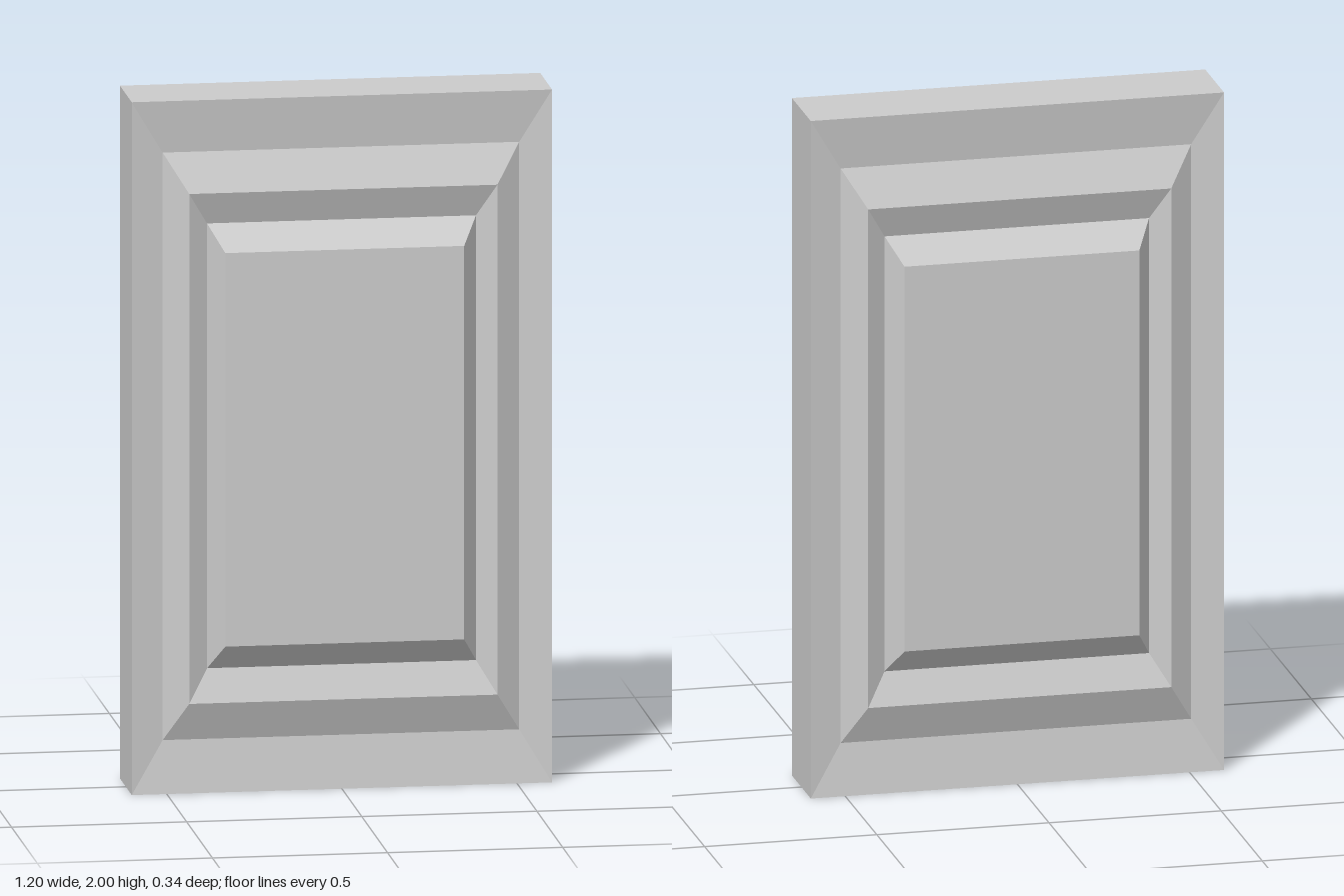
import * as THREE from 'three';

// Rectangular steps of the door face, outside to inside: half width, half height, depth
const EDGE = [0.6, 1, 0.115];
const FRAME_INNER = [0.509, 0.848, 0.096];
const RIDGE = [0.44, 0.736, 0.143];
const GROOVE = [0.384, 0.642, 0.107];
const PANEL = [0.341, 0.568, 0.17];

const material = new THREE.MeshStandardMaterial({ color: 0xcccccc, flatShading: true });

// Corners counter-clockwise as seen from +z
function corners([w, h, z]) {
  return [[-w, -h, z], [w, -h, z], [w, h, z], [-w, h, z]];
}

function meshFrom(name, points) {
  const geometry = new THREE.BufferGeometry();
  geometry.setAttribute('position', new THREE.Float32BufferAttribute(points.flat(), 3));
  geometry.computeVertexNormals();
  const mesh = new THREE.Mesh(geometry, material);
  mesh.name = name;
  return mesh;
}

// Four mitred strips joining an outer rectangle to an inner one
function band(name, outer, inner) {
  const a = corners(outer), b = corners(inner), points = [];
  for (let i = 0; i < 4; i++) {
    const j = (i + 1) % 4;
    points.push(a[i], a[j], b[j], a[i], b[j], b[i]);
  }
  return meshFrom(name, points);
}

function doorFace(name) {
  const face = new THREE.Group();
  face.name = name;
  face.add(
    band('frame', EDGE, FRAME_INNER),
    band('mouldingOuterSlope', FRAME_INNER, RIDGE),
    band('mouldingInnerSlope', RIDGE, GROOVE),
    band('panelBevel', GROOVE, PANEL)
  );
  const [p, q, r, s] = corners(PANEL);
  face.add(meshFrom('raisedPanel', [p, q, r, p, r, s]));
  return face;
}

export function createModel() {
  const door = new THREE.Group();
  door.name = 'panelDoor';

  // Outer edges of the slab
  door.add(band('slabEdges', [EDGE[0], EDGE[1], -EDGE[2]], EDGE));

  // The same moulded face on both sides
  const front = doorFace('frontFace');
  const back = doorFace('backFace');
  back.rotation.y = Math.PI;
  door.add(front, back);

  door.position.y = 1;
  const model = new THREE.Group();
  model.add(door);
  return model;
}
